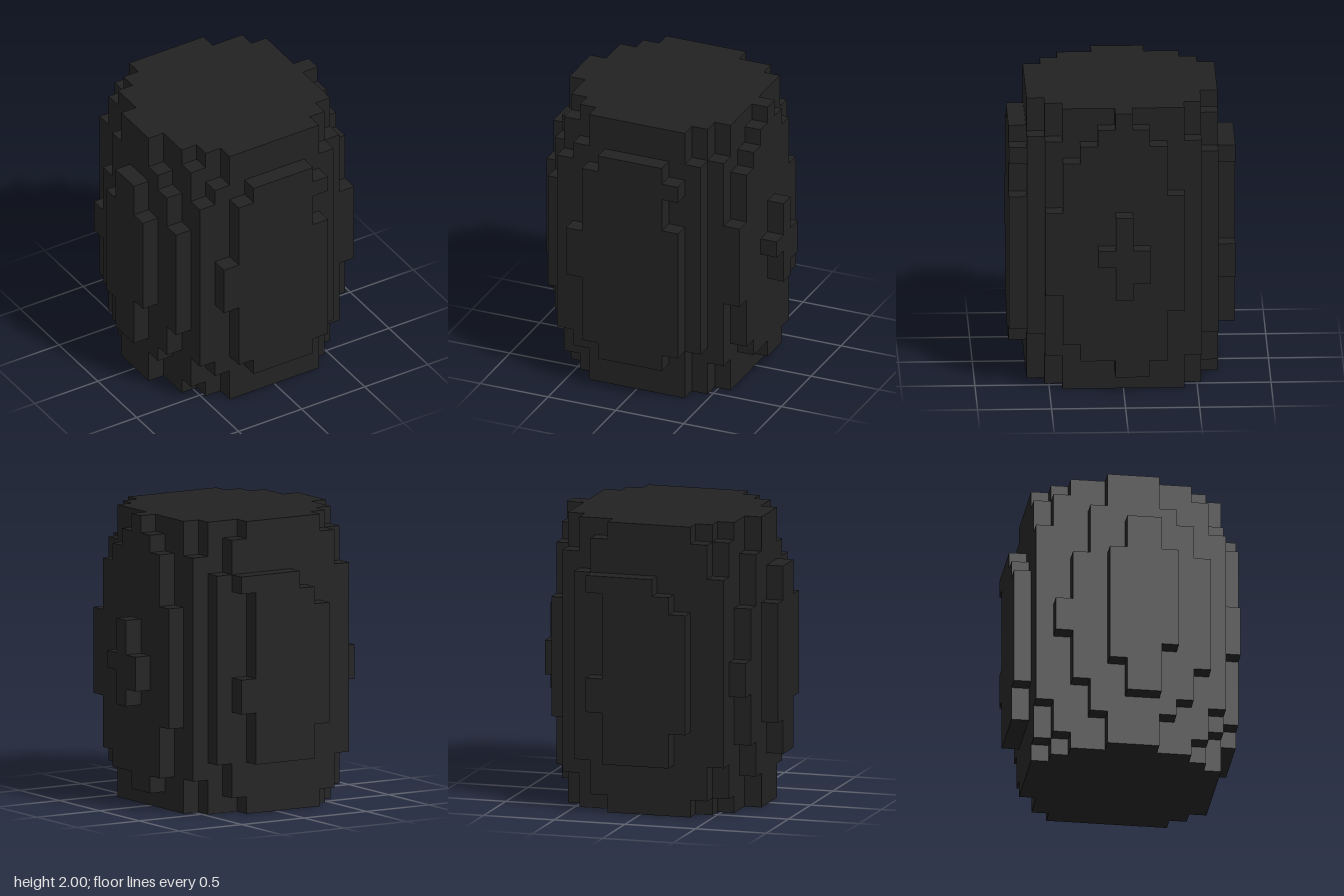
import * as THREE from 'three';

const V = 2 / 17; // voxel size; the grid is 14 x 17 x 13

export function createModel() {
  const group = new THREE.Group();
  const charcoal = new THREE.MeshStandardMaterial({ color: 0x222222 });
  charcoal.name = 'charcoal';
  const X = i => (i - 7) * V;
  const Z = k => (k - 6.5) * V;

  // Full-height core: first and last column of each depth row, back to front
  const rows = [[4, 8], [3, 10], [2, 11], [2, 11], [1, 11], [1, 11], [1, 11], [2, 11], [2, 11], [3, 10], [4, 9]];
  const right = [], left = [];
  rows.forEach(([a, b], r) => {
    const k = r + 1;
    right.push([X(b + 1), -Z(k)], [X(b + 1), -Z(k + 1)]);
    left.push([X(a), -Z(k)], [X(a), -Z(k + 1)]);
  });
  const outline = [...right, ...left.reverse()]
    .map(p => new THREE.Vector2(...p))
    .filter((p, n, all) => n === 0 || p.distanceTo(all[n - 1]) > 1e-6);
  const coreGeometry = new THREE.ExtrudeGeometry(new THREE.Shape(outline), { depth: 2, bevelEnabled: false });
  coreGeometry.rotateX(-Math.PI / 2);
  const core = new THREE.Mesh(coreGeometry, charcoal);
  core.name = 'barrelCore';
  group.add(core);

  // Raised staves: [column, row, lowest voxel, highest voxel]
  const addStaves = (name, list) => {
    const part = new THREE.Group();
    part.name = name;
    list.forEach(([i, k, lo, hi]) => {
      const h = (hi - lo + 1) * V;
      const stave = new THREE.Mesh(new THREE.BoxGeometry(V, h, V), charcoal);
      stave.name = 'stave';
      stave.position.set(X(i + 0.5), lo * V + h / 2, Z(k + 0.5));
      part.add(stave);
    });
    group.add(part);
  };

  addStaves('frontStaves', [
    [3, 12, 7, 9], [4, 12, 3, 13], [5, 12, 2, 14], [6, 12, 2, 14], [7, 12, 2, 14],
    [8, 12, 2, 14], [9, 12, 3, 10], [9, 12, 13, 13],
    [2, 11, 3, 13], [3, 11, 2, 14], [10, 11, 3, 14],
  ]);
  addStaves('backStaves', [
    [4, 0, 5, 11], [5, 0, 3, 12], [6, 0, 3, 13], [7, 0, 3, 13], [8, 0, 3, 13],
    [9, 0, 6, 7], [9, 0, 13, 13],
    [2, 1, 3, 13], [3, 1, 1, 15], [9, 1, 1, 15], [10, 1, 3, 13],
  ]);
  addStaves('leftStaves', [
    [11, 2, 2, 14], [11, 10, 2, 14],
    [12, 3, 5, 11], [12, 4, 3, 14], [12, 4, 2, 2], [12, 5, 1, 15], [12, 6, 1, 16],
    [12, 7, 2, 15], [12, 8, 2, 14], [12, 9, 3, 13], [12, 10, 6, 10],
    [13, 5, 7, 8], [13, 6, 6, 10], [13, 7, 8, 8],
  ]);
  addStaves('rightStaves', [
    [2, 2, 1, 15], [2, 10, 1, 15],
    [1, 2, 7, 8], [1, 3, 4, 11], [1, 4, 2, 14], [1, 8, 2, 14], [1, 9, 3, 13], [1, 10, 5, 11],
    [0, 5, 5, 11], [0, 6, 3, 13], [0, 7, 3, 13], [0, 8, 6, 11],
  ]);
  return group;
}
